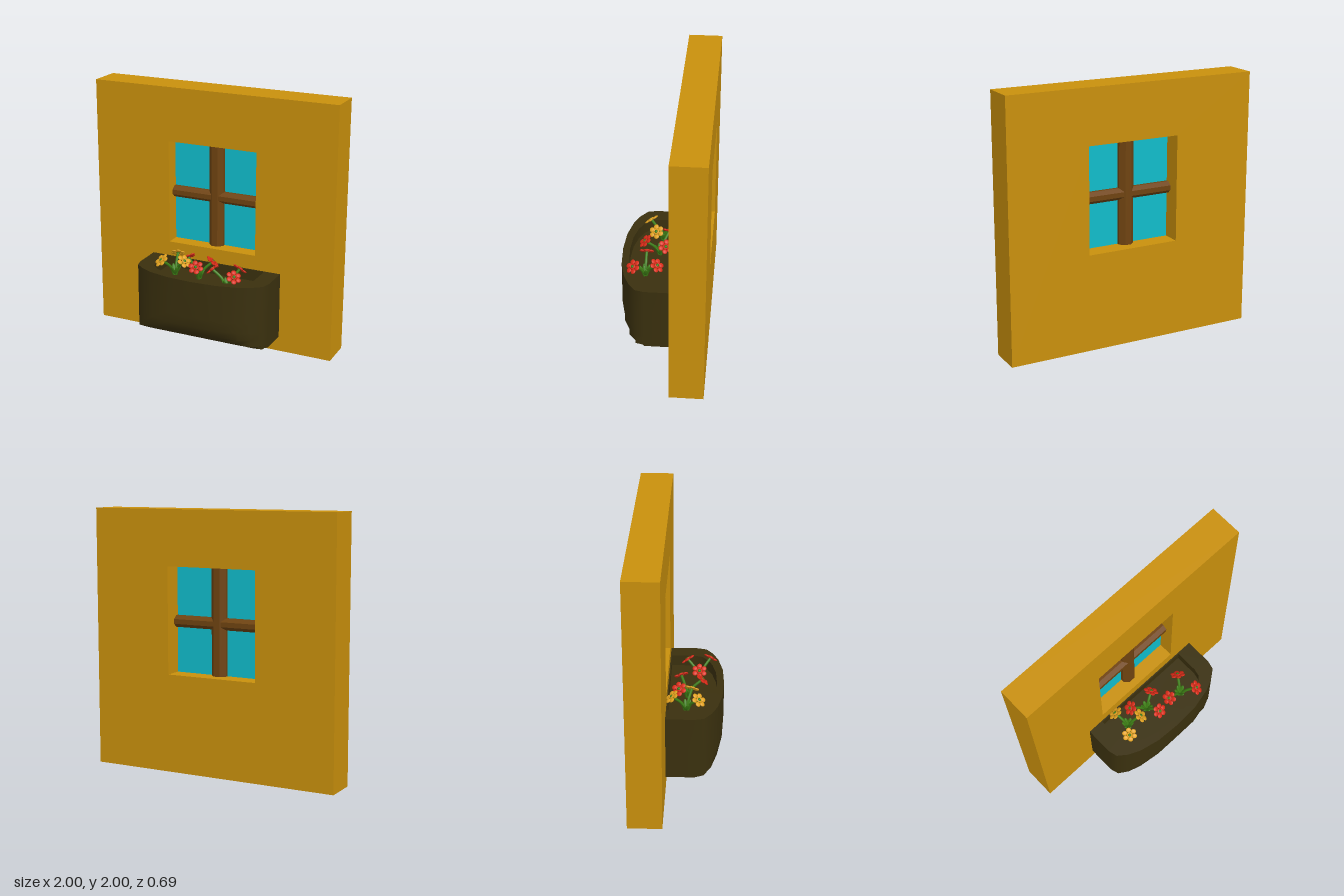
import * as THREE from 'three';
import { toCreasedNormals } from 'three/addons/utils/BufferGeometryUtils.js';

const mat = (color, extra = {}) => {
  const m = new THREE.MeshStandardMaterial(extra);
  m.color.set(color);
  return m;
};
const wallMat = mat(0xc9900c);
const woodMat = mat(0x6f4310);
const glassMat = mat(0x10bccb, { side: THREE.DoubleSide });
const potMat = mat(0x3a300e);
const greenMat = mat(0x3c7c14);
const yellowMat = mat(0xe0a01c);
const redMat = mat(0xd62a16);

function add(parent, name, geometry, material, x = 0, y = 0, z = 0) {
  const mesh = new THREE.Mesh(geometry, material);
  mesh.name = name;
  mesh.position.set(x, y, z);
  parent.add(mesh);
  return mesh;
}

function rectangle(Type, x0, y0, x1, y1) {
  const r = new Type();
  r.moveTo(x0, y0).lineTo(x1, y0).lineTo(x1, y1).lineTo(x0, y1).closePath();
  return r;
}

// Planter: plan outline swept from the inner floor over the rim and down to the rounded base
function planterGeometry() {
  const half = [[-0.545, -0.09], [-0.545, 0.13], [-0.527, 0.2], [-0.455, 0.255],
    [-0.36, 0.298], [-0.2, 0.334], [0, 0.345]];
  const plan = [...half, ...half.slice(0, -1).reverse().map(([x, z]) => [-x, z])];
  const cx = 0.03;
  const outer = (y, zMax) => plan.map(([x, z]) => [x + cx, y, Math.min(z, zMax)]);
  const inner = (y) => plan.map(([x, z]) => [x * 0.765 + cx, y, -0.08 + (z + 0.09) * 0.85]);
  const centre = (y) => plan.map(() => [cx, y, 0.06]);
  const profile = [[0.64, 0.345], [0.35, 0.345], [0.27, 0.335], [0.21, 0.31],
    [0.155, 0.26], [0.13, 0.21], [0.12, 0.15]];
  const rings = [centre(0.55), inner(0.55), inner(0.64),
    ...profile.map(([y, z]) => outer(y, z)), centre(0.12)];
  const pos = [];
  for (let i = 0; i < rings.length - 1; i++) {
    for (let j = 0; j < plan.length; j++) {
      const k = (j + 1) % plan.length;
      const [a, b, c, d] = [rings[i][j], rings[i][k], rings[i + 1][j], rings[i + 1][k]];
      if (i < rings.length - 2) pos.push(...b, ...c, ...d);
      if (i > 0) pos.push(...a, ...c, ...b);
    }
  }
  const g = new THREE.BufferGeometry();
  g.setAttribute('position', new THREE.Float32BufferAttribute(pos, 3));
  return toCreasedNormals(g, 0.75);
}

// Flower head facing +y
const petalGeo = new THREE.SphereGeometry(0.021, 10, 6).scale(1, 0.4, 1);
const ringGeo = new THREE.TorusGeometry(0.018, 0.007, 6, 14).rotateX(Math.PI / 2);
const eyeGeo = new THREE.SphereGeometry(0.014, 10, 6);

function flowerHead(material) {
  const head = new THREE.Group();
  head.name = 'flowerHead';
  for (let i = 0; i < 6; i++) {
    const a = (i / 6) * Math.PI * 2;
    add(head, 'petal', petalGeo, material, Math.cos(a) * 0.04, 0, Math.sin(a) * 0.04);
  }
  add(head, 'flowerRing', ringGeo, material, 0, 0.006, 0);
  add(head, 'flowerEye', eyeGeo, greenMat, 0, 0.003, 0);
  return head;
}

// Plant: stems bending outward from one root, each with a tilted head
function plant(x, z, heads, material) {
  const group = new THREE.Group();
  group.name = 'plant';
  group.position.set(x, 0.55, z);
  const up = new THREE.Vector3(0, 1, 0);
  for (const [hx, hz] of heads) {
    const dx = hx - x, dz = hz - z, len = Math.hypot(dx, dz);
    const facing = new THREE.Vector3(dx / len * 0.7, 0.8, dz / len * 0.7).normalize();
    const tip = new THREE.Vector3(dx, 0.14, dz);
    const curve = new THREE.CatmullRomCurve3([
      new THREE.Vector3(dx * 0.08, 0, dz * 0.08),
      new THREE.Vector3(dx * 0.35, 0.075, dz * 0.35),
      tip.clone().addScaledVector(facing, -0.005),
    ]);
    add(group, 'stem', new THREE.TubeGeometry(curve, 8, 0.011, 7), greenMat);
    const head = flowerHead(material);
    head.position.copy(tip);
    head.quaternion.setFromUnitVectors(up, facing);
    group.add(head);
  }
  // Short leaves fanning around the root
  for (let i = 0; i < 6; i++) {
    const holder = new THREE.Group();
    holder.name = 'leafHolder';
    holder.rotation.y = (i / 6) * Math.PI * 2 + 0.3;
    const leaf = add(holder, 'leaf', new THREE.SphereGeometry(0.045, 8, 6), greenMat, 0.024, 0.04, 0);
    leaf.scale.set(0.2, 1, 0.36);
    leaf.rotation.z = -0.5;
    group.add(holder);
  }
  return group;
}

export function createModel() {
  const model = new THREE.Group();
  model.name = 'windowWithFlowerBox';

  // Wall with window opening
  const [x0, x1, y0, y1] = [-0.37, 0.365, 0.755, 1.575];
  const wall = rectangle(THREE.Shape, -1, 0, 1, 2);
  wall.holes.push(rectangle(THREE.Path, x0, y0, x1, y1));
  add(model, 'wall', new THREE.ExtrudeGeometry(wall, { depth: 0.26, bevelEnabled: false }),
    wallMat, 0, 0, -0.35);

  // Pane and crossed octagonal bars
  const midX = (x0 + x1) / 2, midY = (y0 + y1) / 2, paneZ = -0.205;
  add(model, 'pane', new THREE.PlaneGeometry(x1 - x0, y1 - y0), glassMat, midX, midY, paneZ);
  const bar = (length, width, depth) => {
    const g = new THREE.CylinderGeometry(1, 1, length, 8).rotateY(Math.PI / 8);
    const k = 1 / Math.cos(Math.PI / 8) / 2;
    return toCreasedNormals(g.scale(width * k, 1, depth * k), 0.3);
  };
  add(model, 'verticalBar', bar(y1 - y0, 0.12, 0.12), woodMat, -0.005, midY, paneZ);
  add(model, 'horizontalBar', bar(x1 - x0, 0.09, 0.11).rotateZ(Math.PI / 2), woodMat, midX, 1.15, paneZ);

  // Flower box and plants
  add(model, 'planter', planterGeometry(), potMat);
  model.add(plant(-0.245, 0.06, [[-0.275, -0.05], [-0.145, 0.1], [-0.315, 0.155]], yellowMat));
  model.add(plant(-0.04, 0.06, [[-0.16, 0], [0.055, 0.01], [-0.01, 0.175]], redMat));
  model.add(plant(0.245, 0.15, [[0.305, 0.055], [0.12, 0.15], [0.335, 0.235]], redMat));
  return model;
}
